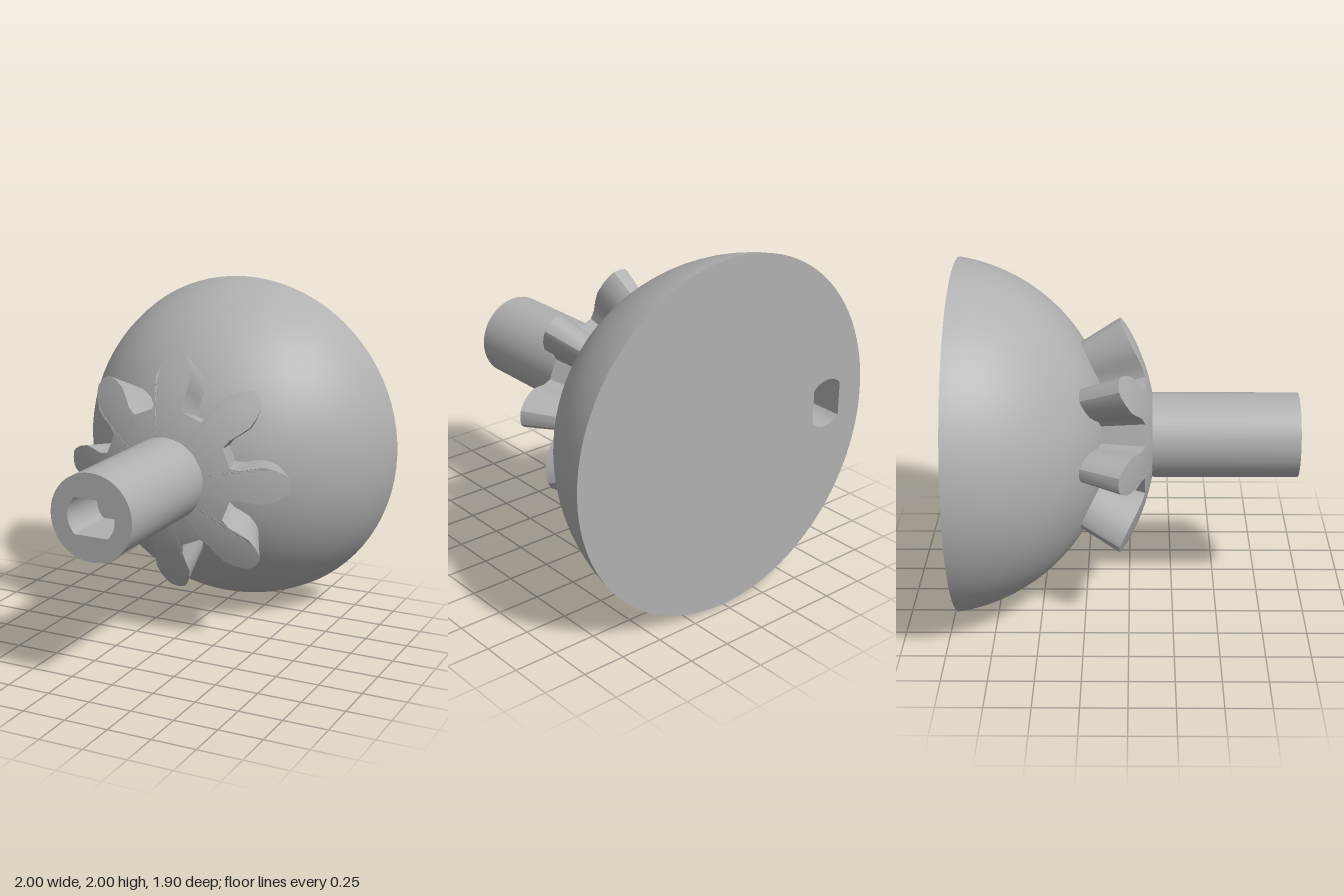
import * as THREE from 'three';
import { toCreasedNormals } from 'three/addons/utils/BufferGeometryUtils.js';

const CORE = -1.115;          // z of the common centre of dome and gear
const DOME_R = 1.0135, GEAR_R = 1.267;

// Skin a list of closed rings (anticlockwise seen from +z)
function loft(rings, crease) {
  const pos = [], n = rings[0].length;
  for (let k = 0; k + 1 < rings.length; k++) {
    for (let i = 0; i < n; i++) {
      const j = (i + 1) % n, a = rings[k], b = rings[k + 1];
      for (const p of [a[i], a[j], b[j], a[i], b[j], b[i]]) pos.push(p.x, p.y, p.z);
    }
  }
  const g = new THREE.BufferGeometry();
  g.setAttribute('position', new THREE.Float32BufferAttribute(pos, 3));
  return toCreasedNormals(g, crease);
}

// Round slot with two flats: radius r, flats at y = +-flat
function slotOutline(r, flat, cx = 0) {
  const pts = [], a = Math.asin(flat / r), steps = 10;
  for (const start of [-a, Math.PI - a]) {
    for (let i = 0; i <= steps; i++) {
      const t = start + (2 * a * i) / steps;
      pts.push(new THREE.Vector2(cx + r * Math.cos(t), r * Math.sin(t)));
    }
  }
  return pts;
}

// Flat round face with a slot cut in it
function slottedFace(radius, slot) {
  const shape = new THREE.Shape().absarc(0, 0, radius, 0, Math.PI * 2, false);
  shape.holes.push(new THREE.Path(slot.slice().reverse()));
  return new THREE.ShapeGeometry(shape, 48);
}

// Blind socket running back from z = 0, tapering slightly
function socketGeometry(slot, depth, cx = 0) {
  const ring = (s, z) => slot.map(p => new THREE.Vector3(cx + (p.x - cx) * s, p.y * s, z));
  return loft([ring(1, 0), ring(0.87, -depth), ring(0.001, -depth)], 0.6);
}

// Eight-tooth outline
function gearOutline() {
  const half = [[0.095, 0.385], [0.086, 0.44], [0.098, 0.5], [0.105, 0.56],
    [0.088, 0.62], [0.062, 0.665], [0.04, 0.685]];
  const tooth = [...half, [0, 0.692], ...half.slice().reverse().map(([w, r]) => [-w, r])];
  const pts = [];
  for (let k = 0; k < 8; k++) {
    for (const [w, r] of tooth) {
      pts.push(new THREE.Vector2(w, r).rotateAround(new THREE.Vector2(), (k * Math.PI) / 4));
    }
  }
  return pts;
}

// Bevel gear: spherical front, flanks converging on the dome's centre
function gearGeometry() {
  const outline = gearOutline();
  const ring = (t, s) => outline.map(p => {
    const x = p.x * t, y = p.y * t;
    const z = Math.sqrt(GEAR_R * GEAR_R - x * x - y * y);
    return new THREE.Vector3(x * s, y * s, CORE + z * s);
  });
  const rings = [ring(1, 0.78)];
  for (const t of [1, 0.88, 0.76, 0.64, 0.52, 0.4, 0.28]) rings.push(ring(t, 1));
  return loft(rings, 0.55);
}

export function createModel() {
  const grey = new THREE.MeshStandardMaterial({ color: 0xb0b0b0 });
  grey.name = 'plain grey';
  const model = new THREE.Group();
  model.name = 'bevelGearDome';
  const body = new THREE.Group();
  body.name = 'body';
  body.position.y = 1;
  model.add(body);

  const add = (parent, name, geometry, z = 0) => {
    const mesh = new THREE.Mesh(geometry, grey);
    mesh.name = name;
    mesh.position.z = z;
    parent.add(mesh);
    return mesh;
  };

  // Dome, pole towards the front
  const dome = new THREE.SphereGeometry(DOME_R, 80, 32, 0, Math.PI * 2, 0, Math.asin(1 / DOME_R));
  add(body, 'dome', dome.rotateX(Math.PI / 2), CORE);

  // Flat back with an off-centre socket
  const back = new THREE.Group();
  back.name = 'back';
  back.rotation.y = Math.PI;
  back.position.z = -0.95;
  body.add(back);
  const backSlot = slotOutline(0.14, 0.1).map(p => new THREE.Vector2(0.73 - p.y, p.x));
  add(back, 'backFace', slottedFace(1, backSlot));
  add(back, 'backSocket', socketGeometry(backSlot, 0.28, 0.73));

  // Gear and shaft
  add(body, 'gear', gearGeometry());
  const shaft = new THREE.CylinderGeometry(0.24, 0.24, 0.95, 48, 1, true);
  add(body, 'shaft', shaft.rotateX(Math.PI / 2), 0.475);
  const shaftSlot = slotOutline(0.14, 0.1);
  add(body, 'shaftEnd', slottedFace(0.24, shaftSlot), 0.95);
  add(body, 'shaftSocket', socketGeometry(shaftSlot, 0.28), 0.95);

  return model;
}
